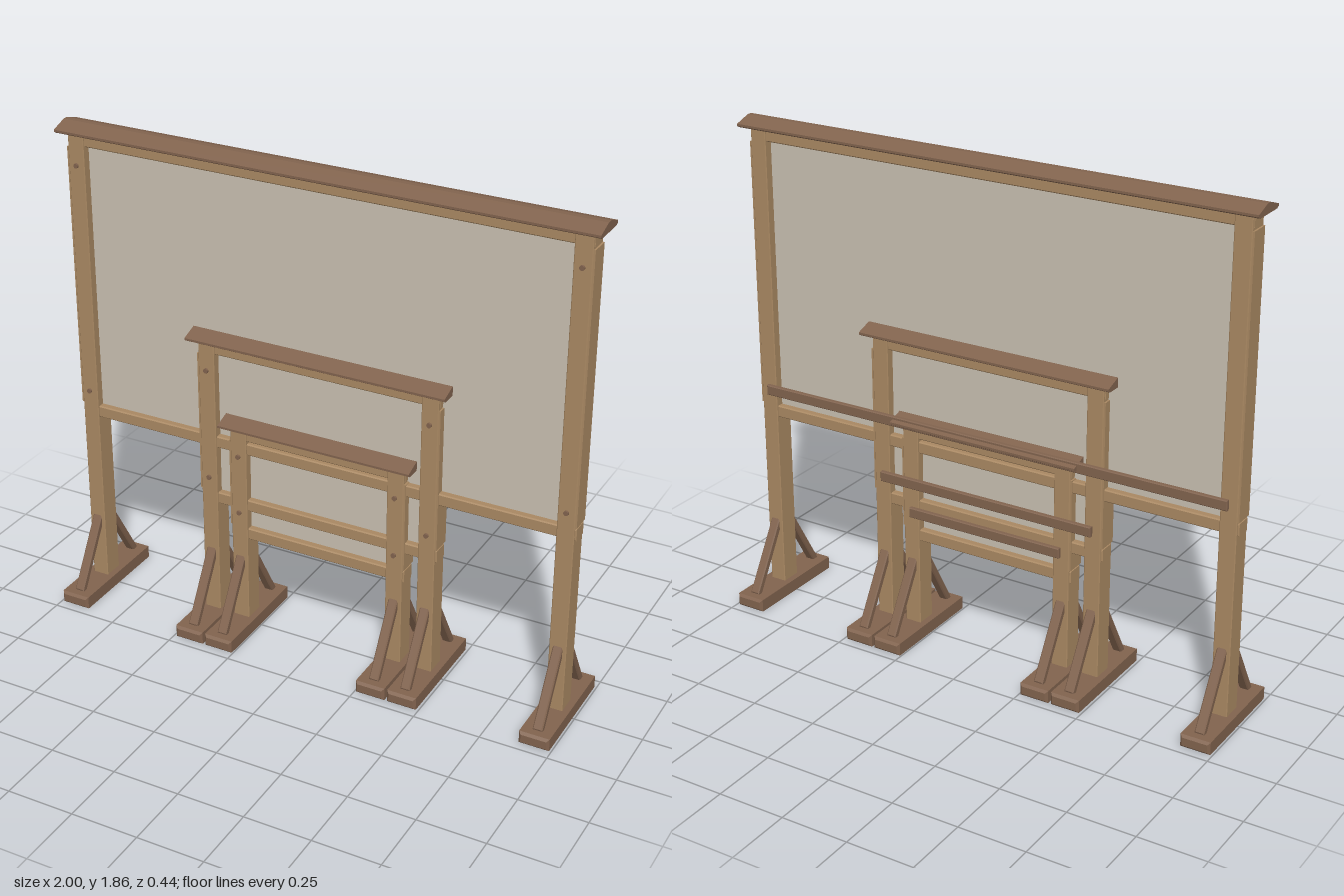
import * as THREE from 'three';

const mat = (name, color) => {
  const m = new THREE.MeshStandardMaterial({ color });
  m.name = name;
  return m;
};

export function createModel() {
  const model = new THREE.Group();
  model.name = 'nestedScreens';
  const wood = mat('lightWood', 0xa98862);
  const dark = mat('darkWood', 0x81634e);
  const cloth = mat('panelGrey', 0xc8bfb0);

  const add = (parent, name, geo, material, x, y, z) => {
    const mesh = new THREE.Mesh(geo, material);
    mesh.name = name;
    mesh.position.set(x, y, z);
    parent.add(mesh);
    return mesh;
  };

  // Box with chamfered edges, centred on its middle
  const chamferBox = (w, h, d, b) => {
    const x = w / 2 - b, y = h / 2 - b;
    const s = new THREE.Shape([[-x, -y], [x, -y], [x, y], [-x, y]].map(p => new THREE.Vector2(...p)));
    const g = new THREE.ExtrudeGeometry(s, {
      depth: d - 2 * b, bevelEnabled: true, bevelSize: b, bevelThickness: b, bevelSegments: 1,
    });
    return g.translate(0, 0, -d / 2 + b);
  };

  // Gabled cap, extruded along x
  const capGeometry = (length) => {
    const profile = [[-0.062, 0], [0.062, 0], [0.072, 0.006], [0.072, 0.014],
      [0.01, 0.035], [-0.01, 0.035], [-0.072, 0.014], [-0.072, 0.006]];
    const s = new THREE.Shape(profile.map(p => new THREE.Vector2(...p)));
    const g = new THREE.ExtrudeGeometry(s, { depth: length, bevelEnabled: false });
    return g.translate(0, 0, -length / 2).rotateY(Math.PI / 2);
  };

  // One standing frame: post centre, cap half length, underside of cap, bottom of lower rail
  const makeScreen = (name, px, capHalf, top, low, pegs, trayY) => {
    const g = new THREE.Group();
    g.name = name;
    const railH = 0.045;
    const upperY = top - railH / 2 - 0.003, lowerY = low + railH / 2;
    const panelH = upperY - lowerY;

    add(g, 'cap', capGeometry(capHalf * 2), dark, 0, top - 0.002, 0);
    add(g, 'topRail', chamferBox(px * 2 + 0.066, railH, 0.066, 0.004), wood, 0, upperY, 0);
    add(g, 'bottomRail', chamferBox(px * 2 + 0.074, railH, 0.066, 0.004), wood, 0, lowerY, 0);
    add(g, 'panel', new THREE.BoxGeometry(px * 2, panelH, 0.016), cloth, 0, (upperY + lowerY) / 2, 0);
    add(g, 'backTray', chamferBox(px * 2, 0.038, 0.018, 0.003), dark, 0, trayY, -0.047);

    for (const side of [-1, 1]) {
      const x = side * px;
      add(g, 'post', chamferBox(0.063, top - 0.04, 0.08, 0.003), wood, x, (top + 0.04) / 2, 0);
      add(g, 'stile', new THREE.BoxGeometry(0.012, panelH - railH - 0.012, 0.074), wood,
        x + side * 0.032, (upperY + lowerY) / 2, 0);
      add(g, 'foot', chamferBox(0.112, 0.048, 0.44, 0.009), dark, x, 0.024, 0);

      // Slanted braces in front and behind
      for (const dir of [-1, 1]) {
        const a = new THREE.Vector3(x, 0.05, dir * 0.175);
        const b = new THREE.Vector3(x, 0.302, dir * 0.028);
        const brace = add(g, 'brace', chamferBox(0.036, a.distanceTo(b) + 0.01, 0.026, 0.004), dark,
          x, (a.y + b.y) / 2, (a.z + b.z) / 2);
        brace.rotation.x = Math.atan2(b.z - a.z, b.y - a.y);
      }

      // Pegs on the front of the post
      for (const y of pegs) {
        add(g, 'peg', new THREE.CylinderGeometry(0.009, 0.009, 0.014, 10).rotateX(Math.PI / 2), dark, x, y, 0.041);
      }
    }
    model.add(g);
  };

  makeScreen('largeScreen', 0.936, 1.0, 1.828, 0.73, [1.71, 0.835], 0.84);
  makeScreen('mediumScreen', 0.434, 0.5, 1.148, 0.5, [1.035, 0.605], 0.612);
  makeScreen('smallScreen', 0.311, 0.376, 0.832, 0.382, [0.72, 0.49], 0.498);
  return model;
}
